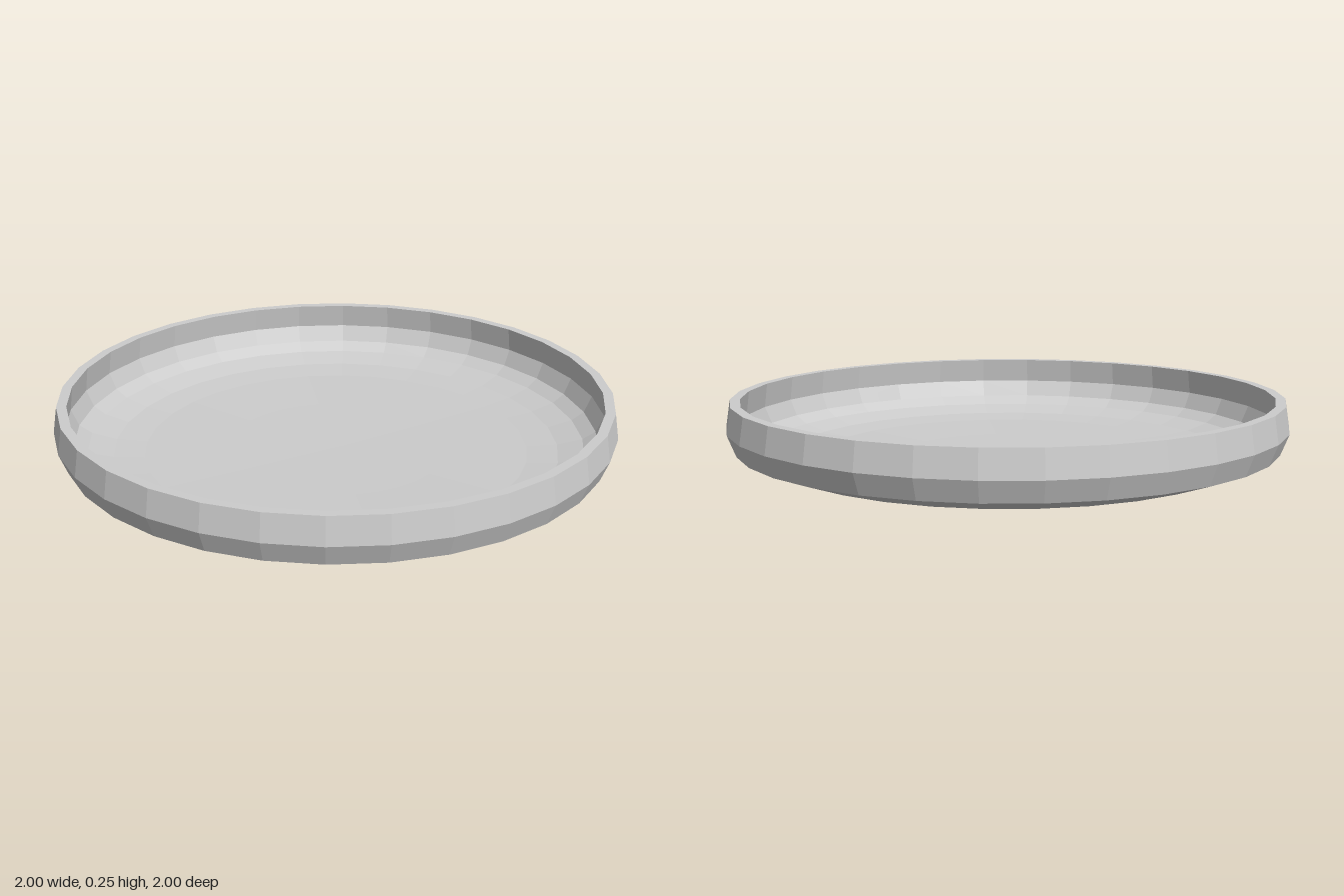
import * as THREE from 'three';

// Plate cross-section: underside centre, outer wall, rim, inner wall, floor centre
const PROFILE = [
  [0, 0], [0.4, 0.007], [0.7, 0.017], [0.83, 0.03], [0.97, 0.08], [1, 0.155], [0.985, 0.25],
  [0.95, 0.25], [0.962, 0.16], [0.935, 0.1], [0.89, 0.07], [0.8, 0.047], [0.69, 0.037],
  [0.4, 0.03], [0, 0.025],
];

// Plan position (x, z) of the middle of each broken shard
const SEEDS = [
  [-0.19, -0.84], [0.38, -0.78], [-0.03, -0.4], [-0.4, -0.2], [-0.45, -0.53], [-0.56, -0.74],
  [-0.8, -0.35], [0.22, -0.3], [0.62, -0.2], [0.87, 0.1], [0.7, 0.42], [0.48, 0.5],
  [0.12, 0.12], [0.26, 0.48], [0.05, 0.45], [0.12, 0.8], [-0.28, 0.8], [-0.24, 0.44],
  [-0.57, 0.42], [-0.72, 0.62], [-0.86, 0.3], [-0.5, 0.12],
].map(([x, z]) => new THREE.Vector3(x, 0, z));

// Keep the part of a convex polygon where side(point) <= 0
function clip(polygon, side) {
  const out = [];
  polygon.forEach((a, i) => {
    const b = polygon[(i + 1) % polygon.length];
    const da = side(a), db = side(b);
    if (da <= 0) out.push(a);
    if ((da < 0 && db > 0) || (da > 0 && db < 0)) out.push(a.clone().lerp(b, da / (da - db)));
  });
  return out;
}

// Facets of the whole plate as triangles
function plateFacets() {
  const lathe = new THREE.LatheGeometry(PROFILE.map(([r, y]) => new THREE.Vector2(r, y)), 32);
  const pos = lathe.toNonIndexed().attributes.position;
  const facets = [];
  for (let i = 0; i < pos.count; i += 3) {
    const [a, b, c] = [0, 1, 2].map((k) => new THREE.Vector3().fromBufferAttribute(pos, i + k));
    if (new THREE.Triangle(a, b, c).getArea() > 1e-7) facets.push([a, b, c]);
  }
  return facets;
}

// One shard: everything nearer in plan to its own seed than to any other
function shardGeometry(seed, facets) {
  const planes = SEEDS.filter((s) => s !== seed).map((other) => {
    const normal = other.clone().sub(seed);
    const offset = normal.dot(other.clone().add(seed).multiplyScalar(0.5));
    return (p) => normal.dot(p) - offset;
  });
  const positions = [];
  for (const facet of facets) {
    let polygon = facet;
    for (const side of planes) {
      polygon = clip(polygon, side);
      if (polygon.length < 3) break;
    }
    for (let i = 1; i + 1 < polygon.length; i++) {
      for (const p of [polygon[0], polygon[i], polygon[i + 1]]) positions.push(p.x, p.y, p.z);
    }
  }
  const geometry = new THREE.BufferGeometry();
  geometry.setAttribute('position', new THREE.Float32BufferAttribute(positions, 3));
  geometry.computeVertexNormals();
  return geometry;
}

export function createModel() {
  const plate = new THREE.Group();
  plate.name = 'brokenPlate';
  const material = new THREE.MeshStandardMaterial({ color: 0xcccccc, flatShading: true });
  const facets = plateFacets();
  SEEDS.forEach((seed, i) => {
    const shard = new THREE.Mesh(shardGeometry(seed, facets), material);
    shard.name = `plateShard${i + 1}`;
    plate.add(shard);
  });
  return plate;
}
